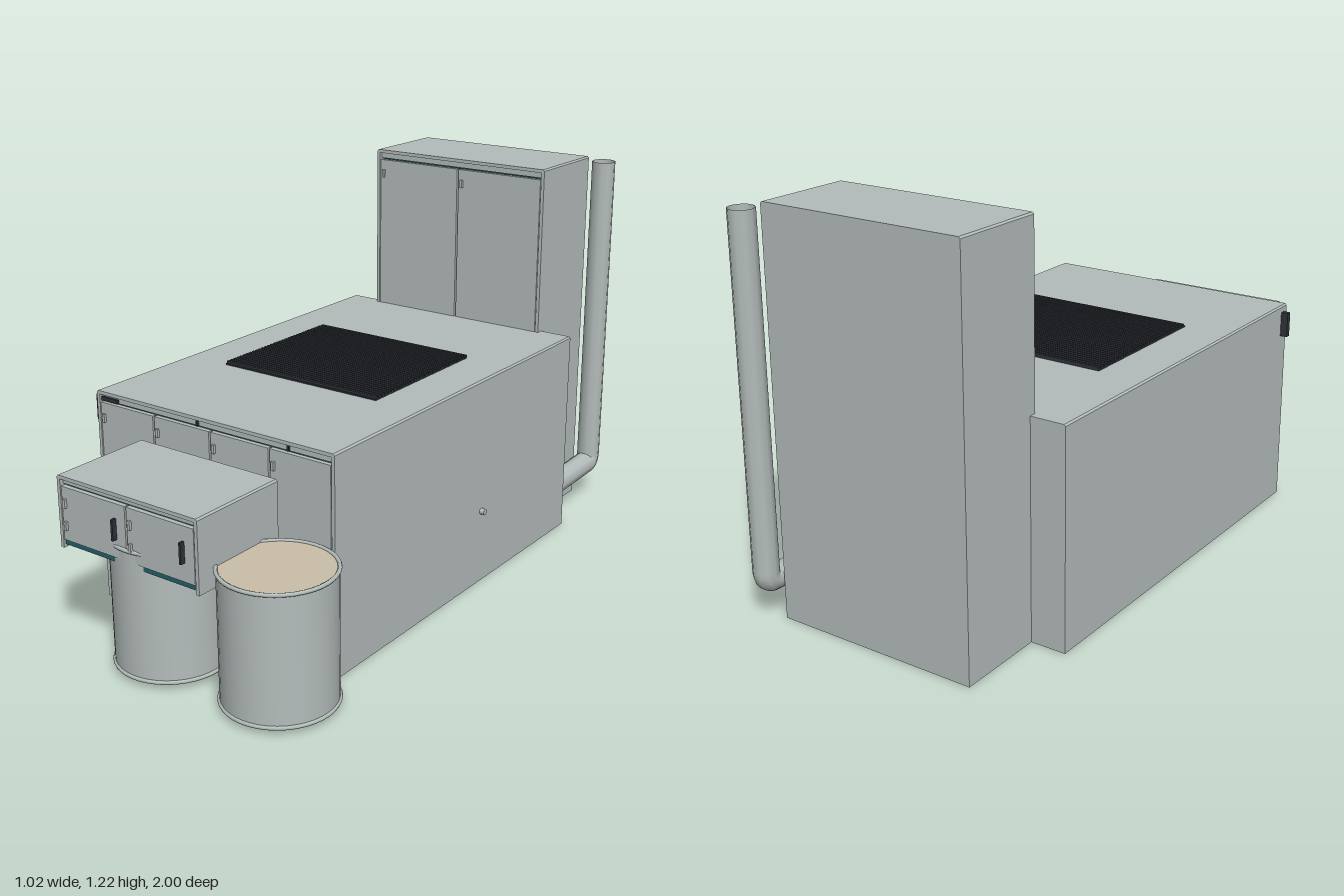
import * as THREE from 'three';

const mat = (name, color, side = THREE.FrontSide) => {
  const m = new THREE.MeshStandardMaterial({ color, side });
  m.name = name;
  return m;
};

export function createModel() {
  const root = new THREE.Group();
  root.name = 'workshopCabinets';
  const grey = mat('paleGrey', 0xb4bdbb, THREE.DoubleSide);
  const teal = mat('deepTeal', 0x265f69);
  const dark = mat('charcoal', 0x30333b);
  const tan = mat('tanLid', 0xcabfa9);

  const add = (parent, name, geo, m, x = 0, y = 0, z = 0) => {
    const mesh = new THREE.Mesh(geo, m);
    mesh.name = name;
    mesh.position.set(x, y, z);
    parent.add(mesh);
    return mesh;
  };
  // Box given by its limits on each axis
  const block = (parent, name, m, x0, x1, y0, y1, z0, z1) =>
    add(parent, name, new THREE.BoxGeometry(x1 - x0, y1 - y0, z1 - z0), m,
      (x0 + x1) / 2, (y0 + y1) / 2, (z0 + z1) / 2);
  const group = (name) => {
    const g = new THREE.Group();
    g.name = name;
    root.add(g);
    return g;
  };

  // Metal shell with an inset teal base, hinged doors, hinges, handles and feet
  function cabinet(name, o) {
    const g = group(name);
    const { x0, x1, y0, y1, z0, z1, n, doorTop, doorBottom, hinges, handle } = o;
    const t = 0.011;
    // shell outline, chamfered at the top corners, extruded from back to front
    const c = 0.005;
    const s = new THREE.Shape([[x0, y0], [x1, y0], [x1, y1 - c], [x1 - c, y1], [x0 + c, y1], [x0, y1 - c]]
      .map(p => new THREE.Vector2(...p)));
    s.holes.push(new THREE.Path([[x0 + t, y0 + 0.001], [x0 + t, y1 - t], [x1 - t, y1 - t], [x1 - t, y0 + 0.001]]
      .map(p => new THREE.Vector2(...p))));
    // the bottom is left open so the base shows
    const open = new THREE.Shape([[x0, y0], [x0 + t, y0], [x0 + t, y1 - t], [x1 - t, y1 - t], [x1 - t, y0],
      [x1, y0], [x1, y1 - c], [x1 - c, y1], [x0 + c, y1], [x0, y1 - c]].map(p => new THREE.Vector2(...p)));
    add(g, 'shell', new THREE.ExtrudeGeometry(open, { depth: z1 - z0, bevelEnabled: false }), grey, 0, 0, z0);
    block(g, 'backPanel', grey, x0 + t, x1 - t, y0, y1 - t, z0, z0 + t);
    block(g, 'base', teal, x0 + t, x1 - t, y0 + 0.009, doorBottom, z0 + t, z1 - 0.007);
    block(g, 'interior', teal, x0 + t, x1 - t, doorBottom, doorTop, z0 + t, z1 - 0.025);
    block(g, 'topRail', grey, x0 + t, x1 - t, doorTop + 0.004, y1 - t, z0 + t, z1 - 0.012);

    const w = (x1 - x0 - 2 * t) / n;
    for (let i = 0; i < n; i++) {
      const a = x0 + t + i * w + 0.003, b = a + w - 0.006;
      block(g, 'door', grey, a, b, doorBottom, doorTop, z1 - 0.016, z1 - 0.001);
      for (const y of hinges)
        block(g, 'hinge', grey, a + 0.009, a + 0.018, y - 0.013, y + 0.013, z1 - 0.002, z1 + 0.007);
      if (handle)
        block(g, 'handle', dark, b - 0.04, b - 0.033, handle[0], handle[1], z1 - 0.002, z1 + 0.014);
    }
    for (const x of [x0 + 0.05, x1 - 0.05])
      for (const z of [z0 + 0.06, z1 - 0.06])
        add(g, 'foot', new THREE.CylinderGeometry(0.018, 0.018, 0.012, 12), dark, x, y0 + 0.006, z);
    return g;
  }

  const main = cabinet('mainCabinet', {
    x0: -0.487, x1: 0.39, y0: 0, y1: 0.672, z0: -0.65, z1: 0.645, n: 4,
    doorTop: 0.637, doorBottom: 0.03, hinges: [0.075, 0.59], handle: [0.33, 0.38],
  });
  cabinet('tallCabinet', {
    x0: -0.375, x1: 0.28, y0: 0, y1: 1.216, z0: -0.932, z1: -0.628, n: 2,
    doorTop: 1.182, doorBottom: 0.03, hinges: [0.075, 1.135],
  });
  const small = cabinet('smallCabinet', {
    x0: -0.304, x1: 0.207, y0: 0.344, y1: 0.561, z0: 0.66, z1: 0.986, n: 2,
    doorTop: 0.53, doorBottom: 0.37, hinges: [0.415, 0.482], handle: [0.425, 0.487],
  });
  for (const x of [-0.299, 0.135])
    block(small, 'hangingPin', dark, x - 0.004, x + 0.004, 0.325, 0.346, 0.67, 0.68);

  // Slatted vent on the main cabinet
  const vent = group('vent');
  block(vent, 'ventPlate', dark, -0.335, 0.235, 0.671, 0.676, -0.255, 0.24);
  const slats = 33, pitch = 0.495 / slats;
  for (let i = 0; i < slats; i++) {
    const z = -0.255 + i * pitch;
    block(vent, 'slat', dark, -0.335, 0.235, 0.675, 0.683, z, z + pitch * 0.65);
  }

  // Switch box, name plate and side knob
  block(main, 'switchBox', dark, -0.51, -0.487, 0.57, 0.65, 0.608, 0.626);
  block(main, 'controlPlate', dark, -0.475, -0.41, 0.641, 0.653, 0.632, 0.64);
  for (const x of [-0.1, 0.228])
    block(main, 'latch', dark, x - 0.003, x + 0.003, 0.641, 0.66, 0.632, 0.64);
  const knob = add(main, 'sideKnob', new THREE.CylinderGeometry(0.01, 0.01, 0.016, 12), grey, 0.397, 0.24, -0.11);
  knob.rotation.z = Math.PI / 2;

  // Drums with rolled rims, a tan lid and four feet
  function drum(name, x, z) {
    const g = group(name);
    g.position.set(x, 0, z);
    const r = 0.163, seg = 40;
    add(g, 'drumWall', new THREE.CylinderGeometry(r, r, 0.386, seg, 1, true), grey, 0, 0.212, 0);
    add(g, 'drumBottom', new THREE.CylinderGeometry(r, r, 0.006, seg), grey, 0, 0.02, 0);
    add(g, 'drumLid', new THREE.CylinderGeometry(r - 0.004, r - 0.004, 0.008, seg), tan, 0, 0.399, 0);
    for (const y of [0.021, 0.403]) {
      const rim = add(g, 'rim', new THREE.TorusGeometry(r, 0.006, 8, seg), grey, 0, y, 0);
      rim.rotation.x = Math.PI / 2;
    }
    for (let i = 0; i < 4; i++) {
      const a = i * Math.PI / 2;
      add(g, 'drumFoot', new THREE.CylinderGeometry(0.013, 0.01, 0.016, 10), dark,
        Math.cos(a) * 0.097, 0.01, Math.sin(a) * 0.097);
    }
  }
  drum('frontDrum', -0.05, 0.825);
  drum('sideDrum', 0.338, 0.825);

  // Exhaust pipe: out of the back of the main cabinet, then straight up
  const V = (y, z) => new THREE.Vector3(0.322, y, z);
  const path = new THREE.CurvePath();
  path.add(new THREE.LineCurve3(V(0.11, -0.645), V(0.118, -0.93)));
  path.add(new THREE.QuadraticBezierCurve3(V(0.118, -0.93), V(0.119, -0.96), V(0.15, -0.96)));
  path.add(new THREE.LineCurve3(V(0.15, -0.96), V(1.2, -0.96)));
  add(group('exhaust'), 'exhaustPipe', new THREE.TubeGeometry(path, 140, 0.039, 10, false), grey);

  return root;
}
